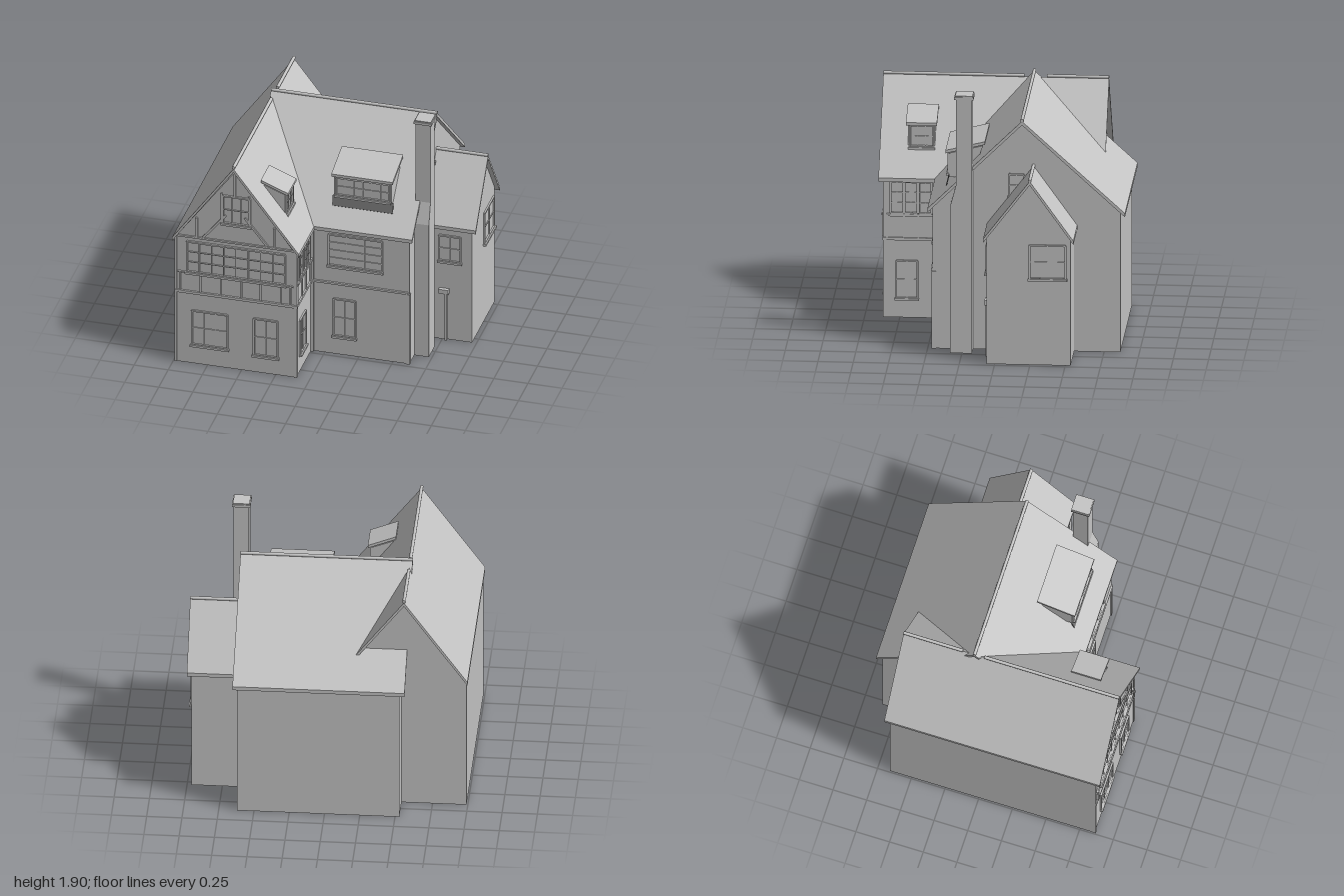
import * as THREE from 'three';

const plaster = new THREE.MeshStandardMaterial({ color: 0xc4c4c4 });
plaster.name = 'pale grey';
const shade = new THREE.MeshStandardMaterial({ color: 0x747474 });
shade.name = 'dark grey';

export function createModel() {
  const house = new THREE.Group();
  house.name = 'house';

  const add = (name, geo, parent = house, mat = plaster) => {
    const m = new THREE.Mesh(geo, mat);
    m.name = name;
    parent.add(m);
    return m;
  };

  const box = (name, x0, x1, y0, y1, z0, z1, parent) => {
    const m = add(name, new THREE.BoxGeometry(x1 - x0, y1 - y0, z1 - z0), parent);
    m.position.set((x0 + x1) / 2, (y0 + y1) / 2, (z0 + z1) / 2);
    return m;
  };

  // Convex polygon pushed along an offset into a closed solid
  const prism = (name, points, offset, mat) => {
    let p = points.map(a => new THREE.Vector3(...a));
    const off = new THREE.Vector3(...offset);
    const n = new THREE.Vector3();
    for (let i = 1; i < p.length - 1; i++) {
      n.add(p[i].clone().sub(p[0]).cross(p[i + 1].clone().sub(p[0])));
    }
    if (n.dot(off) > 0) p = p.reverse();
    const q = p.map(v => v.clone().add(off));
    const tris = [];
    for (let i = 1; i < p.length - 1; i++) tris.push(p[0], p[i], p[i + 1], q[0], q[i + 1], q[i]);
    p.forEach((a, i) => {
      const j = (i + 1) % p.length;
      tris.push(a, q[i], q[j], a, q[j], p[j]);
    });
    const g = new THREE.BufferGeometry().setFromPoints(tris);
    g.computeVertexNormals();
    return add(name, g, house, mat);
  };

  // Thin wall panels following a footprint, thickness inward
  const walls = (name, pts, top, closed) => {
    const count = closed ? pts.length : pts.length - 1;
    for (let i = 0; i < count; i++) {
      const [x0, z0] = pts[i], [x1, z1] = pts[(i + 1) % pts.length];
      const len = Math.hypot(x1 - x0, z1 - z0), t = 0.02 / len;
      prism(name, [[x0, 0, z0], [x1, 0, z1], [x1, top, z1], [x0, top, z0]],
        [(z1 - z0) * t, 0, -(x1 - x0) * t]);
    }
  };

  // Framed window with glazing bars, facing +z before being turned
  const win = (name, [x, y, z], w, h, cols, rows, turn = 0, sill = true) => {
    const g = new THREE.Group();
    g.name = name;
    g.position.set(x, y, z);
    g.rotation.y = turn;
    house.add(g);
    for (let i = 0; i <= cols; i++) {
      const e = i === 0 || i === cols, c = -w / 2 + w * i / cols, b = e ? 0.006 : 0.003;
      box('upright', c - b, c + b, -h / 2, h / 2, -0.004, e ? 0.012 : 0.007, g);
    }
    for (let j = 0; j <= rows; j++) {
      const e = j === 0 || j === rows, c = -h / 2 + h * j / rows, b = e ? 0.006 : 0.003;
      box('crossbar', -w / 2, w / 2, c - b, c + b, -0.004, e ? 0.012 : 0.007, g);
    }
    if (sill) box('sill', -w / 2 - 0.012, w / 2 + 0.012, -h / 2 - 0.016, -h / 2, -0.004, 0.022, g);
  };
  const RIGHT = Math.PI / 2;

  // Walls
  walls('mainWall', [[-0.99, 0.86], [-0.1, 0.86], [-0.1, 0.465], [0.62, 0.465],
    [0.62, -0.865], [-0.53, -0.865], [-0.53, -0.66], [-0.99, -0.66]], 1.04, true);
  walls('annexWall', [[0.62, 0.058], [0.967, 0.058], [0.967, -0.538], [0.62, -0.538]], 0.945, false);

  // Gables
  for (const [z, d] of [[0.86, -0.02], [-0.66, 0.02]]) {
    prism('wingGable', [[-0.99, 1.03, z], [-0.1, 1.03, z], [-0.1, 1.055, z], [-0.55, 1.645, z]], [0, 0, d]);
  }
  prism('mainGable', [[0.62, 1.03, -0.865], [0.62, 1.03, 0.465], [0.62, 1.06, 0.465],
    [0.62, 1.68, -0.17], [0.62, 1.05, -0.865]], [-0.02, 0, 0]);
  prism('rearGable', [[-0.53, 1.03, -0.865], [-0.53, 1.03, -0.66], [-0.53, 1.23, -0.66],
    [-0.53, 1.045, -0.865]], [0.02, 0, 0]);
  prism('annexGable', [[0.967, 0.93, -0.538], [0.967, 0.93, 0.058], [0.967, 0.945, 0.058],
    [0.967, 1.345, -0.25], [0.967, 0.945, -0.538]], [-0.02, 0, 0]);

  // Roof slopes
  const down = [0, -0.028, 0];
  const wingY = x => 1.66 - (x < -0.55 ? 1.4 : 1.3) * Math.abs(x + 0.55);
  const mainY = z => 1.7 - (z > -0.17 ? 0.985 : 0.91) * Math.abs(z + 0.17);
  const annexY = z => 1.365 - (z > -0.25 ? 1.31 : 1.4) * Math.abs(z + 0.25);
  const slope = (name, f, pts) => prism(name, pts.map(([x, z]) => [x, f(x, z), z]), down);
  const byX = x => wingY(x), main = (x, z) => mainY(z), annex = (x, z) => annexY(z);
  slope('wingRoofLeft', byX, [[-1, 0.9], [-0.55, 0.9], [-0.55, -0.7], [-1, -0.7]]);
  slope('wingRoofFront', byX, [[-0.55, 0.9], [-0.07, 0.9], [-0.07, 0.49], [-0.55, -0.14]]);
  slope('wingRoofBack', byX, [[-0.55, -0.7], [-0.21, -0.7], [-0.55, -0.2]]);
  slope('mainRoofFront', main, [[-0.57, -0.17], [0.65, -0.17], [0.65, 0.5], [-0.075, 0.5], [-0.57, -0.14]]);
  slope('mainRoofBack', main, [[-0.57, -0.17], [0.65, -0.17], [0.65, -0.9], [-0.57, -0.9]]);
  slope('annexRoofFront', annex, [[0.62, -0.25], [1, -0.25], [1, 0.08], [0.62, 0.08]]);
  slope('annexRoofBack', annex, [[0.62, -0.25], [1, -0.25], [1, -0.56], [0.62, -0.56]]);

  // Ridge tiles
  const ridge = (a, b) => {
    const A = new THREE.Vector3(...a), B = new THREE.Vector3(...b);
    const m = add('ridgeTile', new THREE.CylinderGeometry(0.012, 0.012, A.distanceTo(B), 10));
    m.position.copy(A).add(B).multiplyScalar(0.5);
    m.quaternion.setFromUnitVectors(new THREE.Vector3(0, 1, 0), B.sub(A).normalize());
  };
  ridge([-0.57, 1.705, -0.17], [0.65, 1.705, -0.17]);
  ridge([-0.55, 1.67, 0.9], [-0.55, 1.67, -0.1]);
  ridge([-0.55, 1.67, -0.26], [-0.55, 1.67, -0.7]);
  ridge([0.62, 1.367, -0.25], [1, 1.367, -0.25]);

  // Chimney with a sloped shoulder and cap
  prism('chimneyStack', [[0.617, 0, 0.18], [0.617, 0, 0.335], [0.617, 1.08, 0.335],
    [0.617, 1.24, 0.292], [0.617, 1.88, 0.292], [0.617, 1.88, 0.18]], [0.11, 0, 0]);
  box('chimneyCap', 0.607, 0.737, 1.875, 1.895, 0.168, 0.304);
  box('chimneyCapTop', 0.613, 0.731, 1.895, 1.903, 0.174, 0.298);

  // Front dormer
  prism('dormerBody', [[0.04, 1.22, 0.36], [0.04, 1.395, 0.36], [0.04, 1.455, 0.12], [0.04, 1.22, 0.2]], [0.42, 0, 0]);
  prism('dormerRoof', [[0.025, 1.49, 0.105], [0.025, 1.42, 0.385], [0.475, 1.42, 0.385], [0.475, 1.49, 0.105]], [0, -0.022, 0]);
  prism('dormerApron', [[0.03, 1.24, 0.362], [0.475, 1.24, 0.362], [0.475, 1.162, 0.382], [0.03, 1.162, 0.382]],
    [0, -0.006, -0.006], shade);
  win('dormerWindow', [0.25, 1.315, 0.36], 0.39, 0.14, 6, 2);

  // Side dormer on the wing
  prism('sideDormerBody', [[-0.225, 1.2, 0.51], [-0.225, 1.385, 0.51], [-0.38, 1.445, 0.51], [-0.38, 1.2, 0.51]], [0, 0, 0.19]);
  prism('sideDormerRoof', [[-0.4, 1.49, 0.495], [-0.2, 1.41, 0.495], [-0.2, 1.41, 0.715], [-0.4, 1.49, 0.715]], [0, -0.022, 0]);
  win('sideDormerWindow', [-0.225, 1.305, 0.605], 0.165, 0.16, 3, 2, RIGHT);

  // Front windows
  win('bayWindow', [-0.54, 0.872, 0.862], 0.72, 0.245, 8, 3);
  win('gableWindow', [-0.537, 1.3, 0.862], 0.2, 0.22, 3, 2);
  win('lowerWideWindow', [-0.733, 0.295, 0.86], 0.26, 0.275, 3, 2);
  win('lowerWindow', [-0.322, 0.29, 0.86], 0.175, 0.295, 2, 2);
  win('hallUpperWindow', [0.225, 0.85, 0.465], 0.39, 0.25, 3, 4);
  win('hallLowerWindow', [0.145, 0.302, 0.465], 0.16, 0.3, 2, 2);
  win('annexFrontWindow', [0.805, 0.745, 0.058], 0.155, 0.205, 2, 2);

  // Right-hand windows
  win('annexSideWindow', [0.967, 0.762, -0.375], 0.255, 0.245, 2, 2, RIGHT);
  win('atticWindow', [0.62, 1.22, -0.13], 0.105, 0.16, 2, 2, RIGHT);
  win('wingSideWindow', [-0.1, 0.282, 0.7], 0.15, 0.275, 2, 2, RIGHT);
  for (const z of [0.57, 0.67, 0.77]) win('baySideWindow', [-0.098, 0.888, z], 0.09, 0.23, 2, 3, RIGHT, false);

  // Timber framing on the wing front
  const timber = (x0, y0, x1, y1, w = 0.014) => {
    const m = add('timber', new THREE.BoxGeometry(Math.hypot(x1 - x0, y1 - y0), w, 0.012));
    m.position.set((x0 + x1) / 2, (y0 + y1) / 2, 0.864);
    m.rotation.z = Math.atan2(y1 - y0, x1 - x0);
  };
  timber(-0.99, 1.035, -0.1, 1.035);
  timber(-0.97, 0.74, -0.12, 0.74, 0.01);
  for (const x of [-0.8, -0.65, -0.5, -0.36, -0.21]) timber(x, 0.59, x, 0.74);
  for (const x of [-0.95, -0.14]) box('bracketPost', x - 0.006, x + 0.006, 0.59, 0.75, 0.85, 0.878);
  for (const s of [-1, 1]) {
    const c = -0.545;
    timber(c + s * 0.285, 1.035, c + s * 0.285, 1.2, 0.016);
    timber(c + s * 0.235, 1.045, c + s * 0.07, 1.25, 0.016);
    timber(c + s * 0.1, 1.17, c + s * 0.1, 1.43, 0.012);
    timber(c + s * 0.43, 1.045, c + s * 0.005, 1.625, 0.016);
  }
  timber(-0.55, 1.41, -0.55, 1.62, 0.016);

  // String courses, sill band and side framing
  box('wingBand', -0.99, -0.088, 0.572, 0.592, 0.85, 0.874);
  box('wingSideBand', -0.108, -0.088, 0.572, 0.592, 0.465, 0.874);
  box('baySideSill', -0.104, -0.084, 0.75, 0.768, 0.48, 0.86);
  for (const z of [0.5, 0.62, 0.72, 0.84]) box('sideTimber', -0.104, -0.09, 0.59, 0.75, z - 0.006, z + 0.006);
  box('hallBand', -0.1, 0.61, 0.572, 0.588, 0.455, 0.479);

  // Corner boards and downpipes
  box('cornerBoard', -0.992, -0.975, 0, 1.03, 0.845, 0.868);
  box('cornerBoard', -0.114, -0.092, 0, 1.03, 0.845, 0.868);
  box('cornerBoard', 0.598, 0.626, 0, 0.57, 0.44, 0.473);
  box('downpipe', -0.1, -0.08, 0, 1.03, 0.465, 0.48);

  // Door with hood and post
  box('door', 0.727, 0.765, 0, 0.38, 0.055, 0.064);
  box('doorPost', 0.77, 0.787, 0, 0.38, 0.056, 0.08);
  box('doorHood', 0.727, 0.8, 0.38, 0.415, 0.056, 0.086);

  return house;
}
